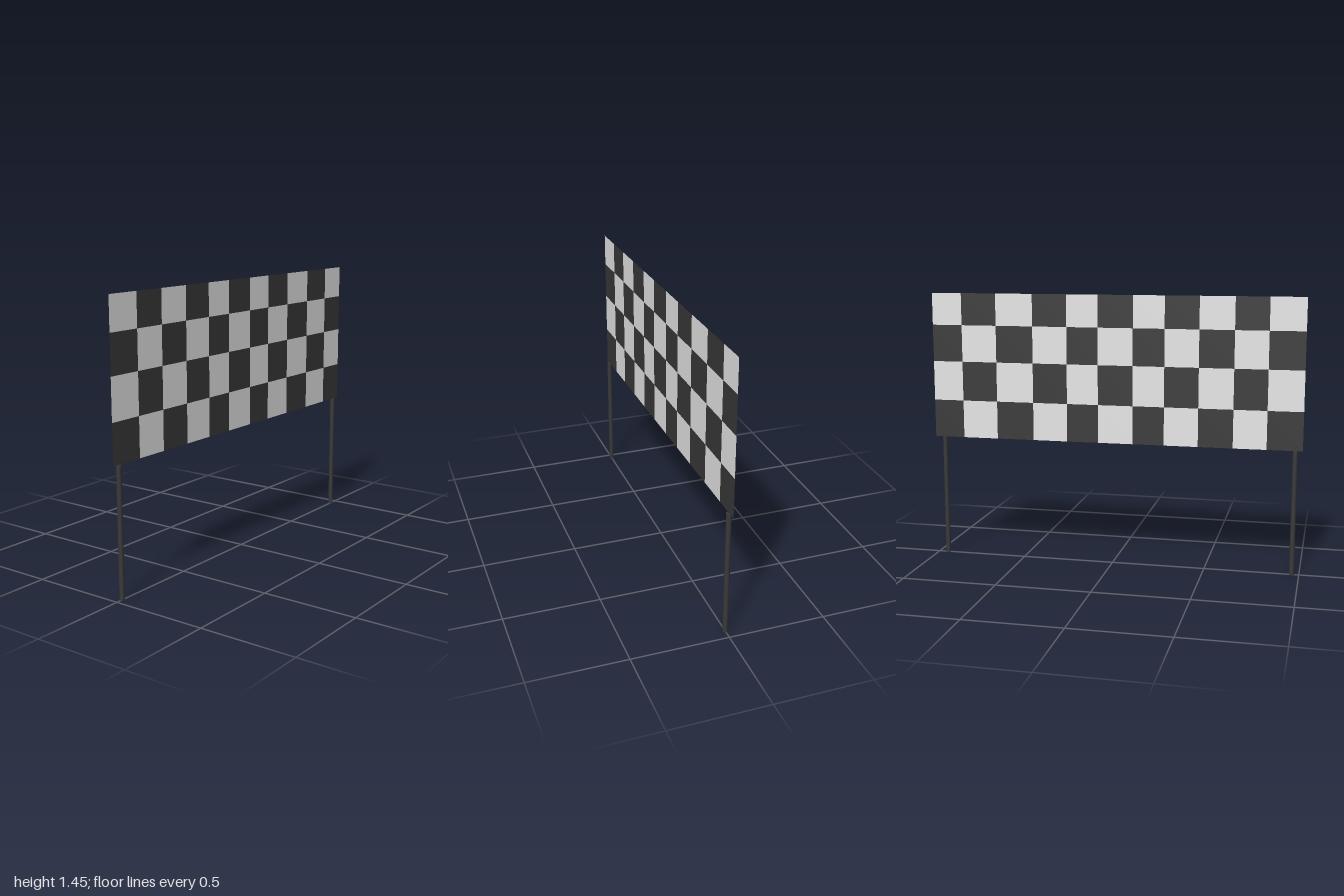
import * as THREE from 'three';

const white = new THREE.MeshStandardMaterial({ color: 0xffffff, side: THREE.DoubleSide });
white.name = 'white cloth';
const black = new THREE.MeshStandardMaterial({ color: 0x393939, side: THREE.DoubleSide });
black.name = 'black cloth';
const postBlack = new THREE.MeshStandardMaterial({ color: 0x393939 });
postBlack.name = 'post black';

// Slightly uneven check edges, front to back and bottom to top
const columns = [1, 0.815, 0.64, 0.457, 0.276, 0.108, -0.08, -0.25, -0.438, -0.642, -0.835, -1];
const rows = [0.66, 0.864, 1.077, 1.275, 1.447];

export function createModel() {
  const model = new THREE.Group();
  model.name = 'checkeredBanner';

  // Banner: flat checks in the x = 0 plane
  const banner = new THREE.Group();
  banner.name = 'banner';
  for (let r = 0; r < rows.length - 1; r++) {
    for (let c = 0; c < columns.length - 1; c++) {
      const width = columns[c] - columns[c + 1];
      const height = rows[r + 1] - rows[r];
      const dark = (r + c) % 2 === 0;
      const check = new THREE.Mesh(new THREE.PlaneGeometry(width, height), dark ? black : white);
      check.name = dark ? 'blackCheck' : 'whiteCheck';
      check.rotation.y = Math.PI / 2;
      check.position.set(0, rows[r] + height / 2, columns[c] - width / 2);
      banner.add(check);
    }
  }
  model.add(banner);

  // Round posts up to the lower edge of the banner
  for (const [name, z] of [['frontPost', 0.962], ['backPost', -0.946]]) {
    const post = new THREE.Mesh(new THREE.CylinderGeometry(0.013, 0.013, 0.66, 16), postBlack);
    post.name = name;
    post.position.set(0, 0.33, z);
    model.add(post);
  }
  return model;
}
